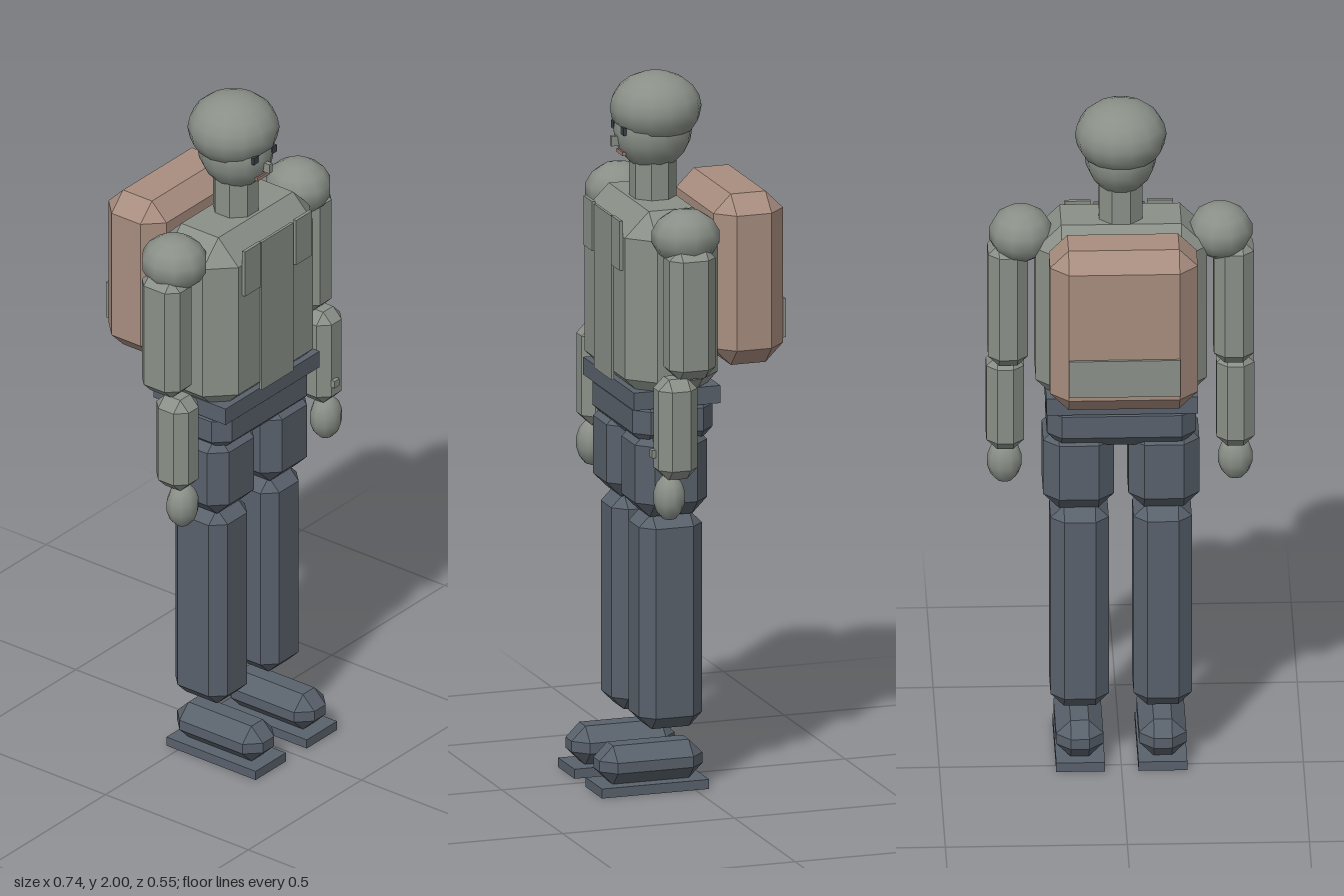
import * as THREE from 'three';
import { ConvexGeometry } from 'three/addons/geometries/ConvexGeometry.js';

const material = (name, color, flatShading = false) =>
  Object.assign(new THREE.MeshStandardMaterial({ color, flatShading }), { name });

// Box with every edge cut at 45 degrees, given by its bounds
function chamferBox(w, h, d, c) {
  const pts = [];
  for (const x of [-1, 1]) for (const y of [-1, 1]) for (const z of [-1, 1]) {
    const X = w / 2, Y = h / 2, Z = d / 2;
    pts.push(
      new THREE.Vector3(x * X, y * (Y - c), z * (Z - c)),
      new THREE.Vector3(x * (X - c), y * Y, z * (Z - c)),
      new THREE.Vector3(x * (X - c), y * (Y - c), z * Z));
  }
  return new ConvexGeometry(pts);
}

export function createModel() {
  const model = new THREE.Group();
  model.name = 'walker';
  const grey = material('greyGreen', 0x8a9088);
  const navy = material('slateBlue', 0x59616b);
  const tan = material('packTan', 0xa88d7f);
  const dark = material('eyeDark', 0x3c4248);
  const lip = material('lipRose', 0xa57f74);

  function add(name, geometry, mat, x, y, z) {
    const mesh = new THREE.Mesh(geometry, mat);
    mesh.name = name;
    mesh.position.set(x, y, z);
    model.add(mesh);
    return mesh;
  }
  // Parts placed by centre x, width, y range, z range
  const block = (name, mat, x, w, y0, y1, z0, z1, c) =>
    add(name, c ? chamferBox(w, y1 - y0, z1 - z0, c) : new THREE.BoxGeometry(w, y1 - y0, z1 - z0),
      mat, x, (y0 + y1) / 2, (z0 + z1) / 2);
  const ball = (name, mat, x, y, z, rx, ry, rz, seg) =>
    add(name, new THREE.SphereGeometry(1, seg, Math.round(seg * 0.7)), mat, x, y, z).scale.set(rx, ry, rz);

  // Head, hair and neck
  ball('head', grey, 0, 1.84, 0.06, 0.1, 0.113, 0.11, 14);
  ball('hair', grey, 0, 1.9, 0.052, 0.126, 0.1, 0.127, 14);
  const neckGeo = new THREE.CylinderGeometry(0.065, 0.065, 0.16, 8).rotateY(Math.PI / 8).toNonIndexed();
  neckGeo.computeVertexNormals();
  add('neck', neckGeo, grey, 0, 1.7, 0.06);

  // Face
  block('nose', grey, 0, 0.014, 1.8, 1.828, 0.155, 0.183);
  block('mouth', lip, 0, 0.052, 1.775, 1.785, 0.148, 0.157);

  // Torso, shirt front and waist
  block('torso', grey, 0, 0.47, 1.11, 1.65, -0.07, 0.2, 0.07);
  block('shirtFront', grey, 0, 0.14, 1.155, 1.62, 0.198, 0.206);
  block('belt', navy, 0, 0.416, 1.1, 1.15, -0.063, 0.189);
  block('hips', navy, 0, 0.41, 0.985, 1.13, -0.055, 0.178, 0.04);

  // Backpack
  block('backpack', tan, 0, 0.406, 1.19, 1.675, -0.265, -0.062, 0.051);
  block('backpackPanel', grey, 0, 0.306, 1.255, 1.365, -0.273, -0.264);

  // Mirrored parts
  for (const [side, s] of [['left', 1], ['right', -1]]) {
    const part = (n) => side + n;
    block(part('Eye'), dark, s * 0.04, 0.022, 1.839, 1.86, 0.155, 0.164);
    block(part('Strap'), grey, s * 0.113, 0.071, 1.485, 1.625, 0.2, 0.21);

    // Arm
    ball(part('Shoulder'), grey, s * 0.274, 1.6, 0.062, 0.09, 0.078, 0.096, 10);
    block(part('UpperArm'), grey, s * 0.31, 0.11, 1.21, 1.58, -0.003, 0.13, 0.03);
    block(part('Forearm'), grey, s * 0.316, 0.104, 0.93, 1.215, 0.05, 0.163, 0.03);
    ball(part('Hand'), grey, s * 0.317, 0.877, 0.125, 0.049, 0.066, 0.044, 10);

    // Leg
    block(part('Thigh'), navy, s * 0.117, 0.195, 0.785, 1.035, -0.037, 0.173, 0.043);
    block(part('Shin'), navy, s * 0.114, 0.16, 0.178, 0.79, -0.027, 0.156, 0.037);

    // Shoe
    block(part('Shoe'), navy, s * 0.114, 0.13, 0.025, 0.135, -0.035, 0.265, 0.04);
    block(part('Sole'), navy, s * 0.113, 0.134, 0, 0.027, -0.04, 0.272);
  }

  // Wrist stud on the left arm
  block('wristStud', grey, 0.304, 0.022, 0.99, 1.012, 0.155, 0.174);

  return model;
}
